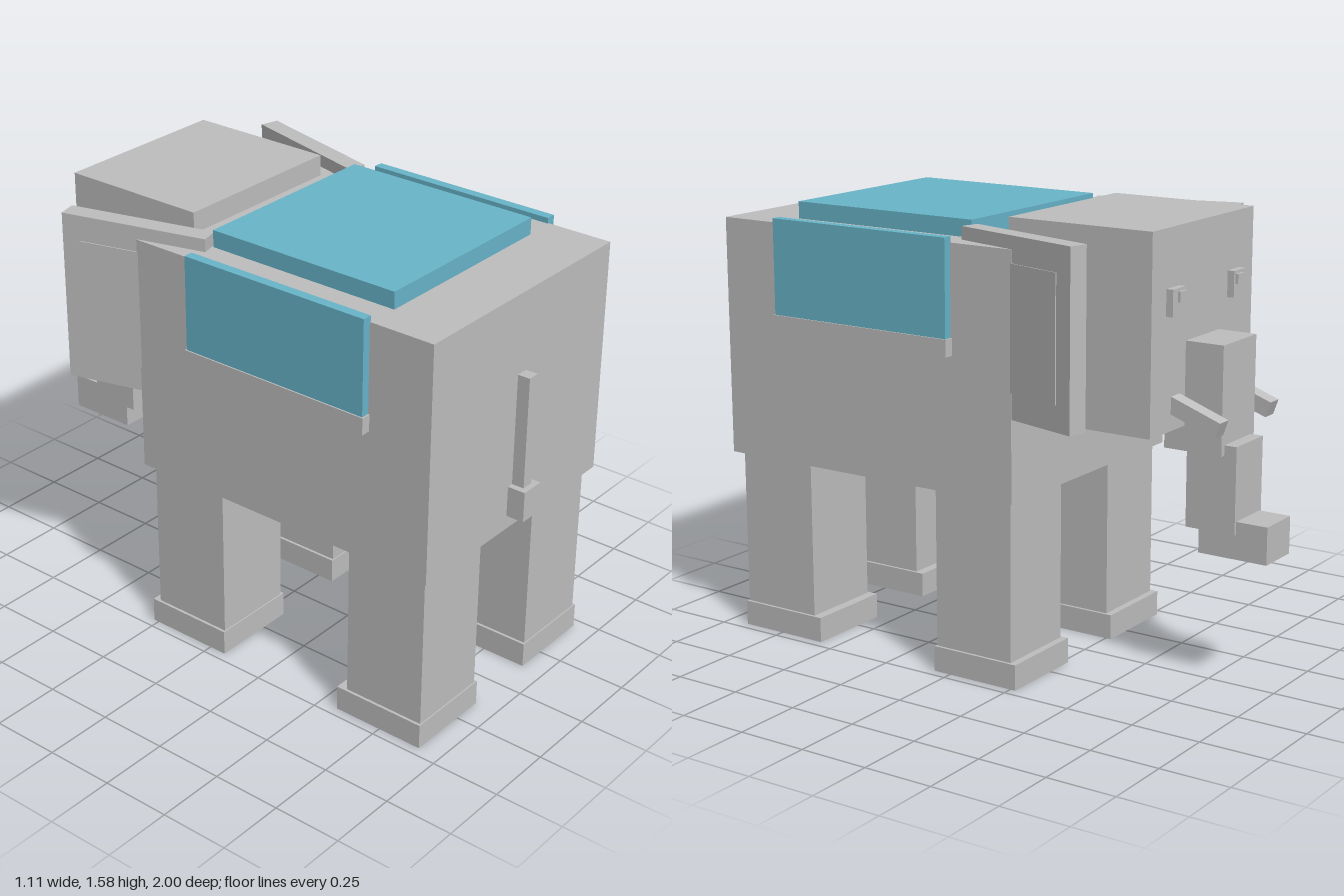
import * as THREE from 'three';

const hide = new THREE.MeshStandardMaterial({ color: 0xbfbfbf });
hide.name = 'grey hide';
const cloth = new THREE.MeshStandardMaterial({ color: 0x69b6cb });
cloth.name = 'blue cloth';

// Box given by its [min, max] extent along each axis
function block(parent, name, [x0, x1], [y0, y1], [z0, z1], material = hide) {
  const mesh = new THREE.Mesh(new THREE.BoxGeometry(x1 - x0, y1 - y0, z1 - z0), material);
  mesh.position.set((x0 + x1) / 2, (y0 + y1) / 2, (z0 + z1) / 2);
  mesh.name = name;
  parent.add(mesh);
  return mesh;
}

// Extent along x for a part on the given side
const sided = (s, a, b) => (s > 0 ? [a, b] : [-b, -a]);

export function createModel() {
  const model = new THREE.Group();
  model.name = 'elephant';

  // Body and head; the head points towards -z
  block(model, 'body', [-0.485, 0.485], [0.655, 1.5], [-0.27, 0.935]);
  block(model, 'head', [-0.33, 0.33], [0.905, 1.575], [-0.7, -0.155]);

  // Trunk in three steps
  block(model, 'trunkUpper', [-0.11, 0.11], [0.82, 1.19], [-0.84, -0.625]);
  block(model, 'trunkMiddle', [-0.09, 0.09], [0.555, 0.855], [-0.885, -0.7]);
  block(model, 'trunkTip', [-0.08, 0.08], [0.47, 0.6], [-1, -0.745]);

  // Tail
  block(model, 'tail', [-0.022, 0.022], [0.81, 1.215], [0.93, 0.98]);
  block(model, 'tailTuft', [-0.045, 0.045], [0.705, 0.815], [0.93, 1]);

  // Saddle blanket on the back
  block(model, 'blanketTop', [-0.37, 0.37], [1.5, 1.56], [-0.035, 0.7], cloth);

  for (const s of [1, -1]) {
    // Legs with wider feet
    for (const [leg, foot] of [[[-0.245, 0.06], [-0.27, 0.065]], [[0.605, 0.91], [0.57, 0.915]]]) {
      block(model, 'leg', sided(s, 0.15, 0.455), [0.09, 0.66], leg);
      block(model, 'foot', sided(s, 0.14, 0.465), [0, 0.09], foot);
    }

    // Blanket flap with its trim
    block(model, 'blanketFlap', sided(s, 0.48, 0.515), [1.185, 1.52], [-0.03, 0.695], cloth);
    block(model, 'flapTrim', sided(s, 0.48, 0.52), [1.125, 1.185], [-0.035, 0.7]);

    // Ear swung outwards, with a thin plate on the outer face
    const ear = new THREE.Group();
    ear.name = 'ear';
    ear.position.set(s * 0.453, 1.243, -0.293);
    ear.rotation.y = -s * 0.262;
    block(ear, 'earFlap', [-0.034, 0.034], [-0.302, 0.302], [-0.265, 0.265]);
    block(ear, 'earPlate', sided(s, 0.03, 0.038), [-0.213, 0.212], [-0.2, 0.2]);
    model.add(ear);

    // Eye with a small pupil set inwards
    block(model, 'eye', sided(s, 0.16, 0.24), [1.29, 1.38], [-0.725, -0.69]);
    block(model, 'pupil', sided(s, 0.17, 0.21), [1.335, 1.37], [-0.735, -0.72]);

    // Tusk sloping down and forward
    const tusk = new THREE.Group();
    tusk.name = 'tusk';
    tusk.position.set(s * 0.172, 0.93, -0.873);
    tusk.rotation.x = -0.34;
    block(tusk, 'tuskBar', [-0.028, 0.028], [-0.028, 0.028], [0, 0.22]);
    model.add(tusk);
  }
  return model;
}
